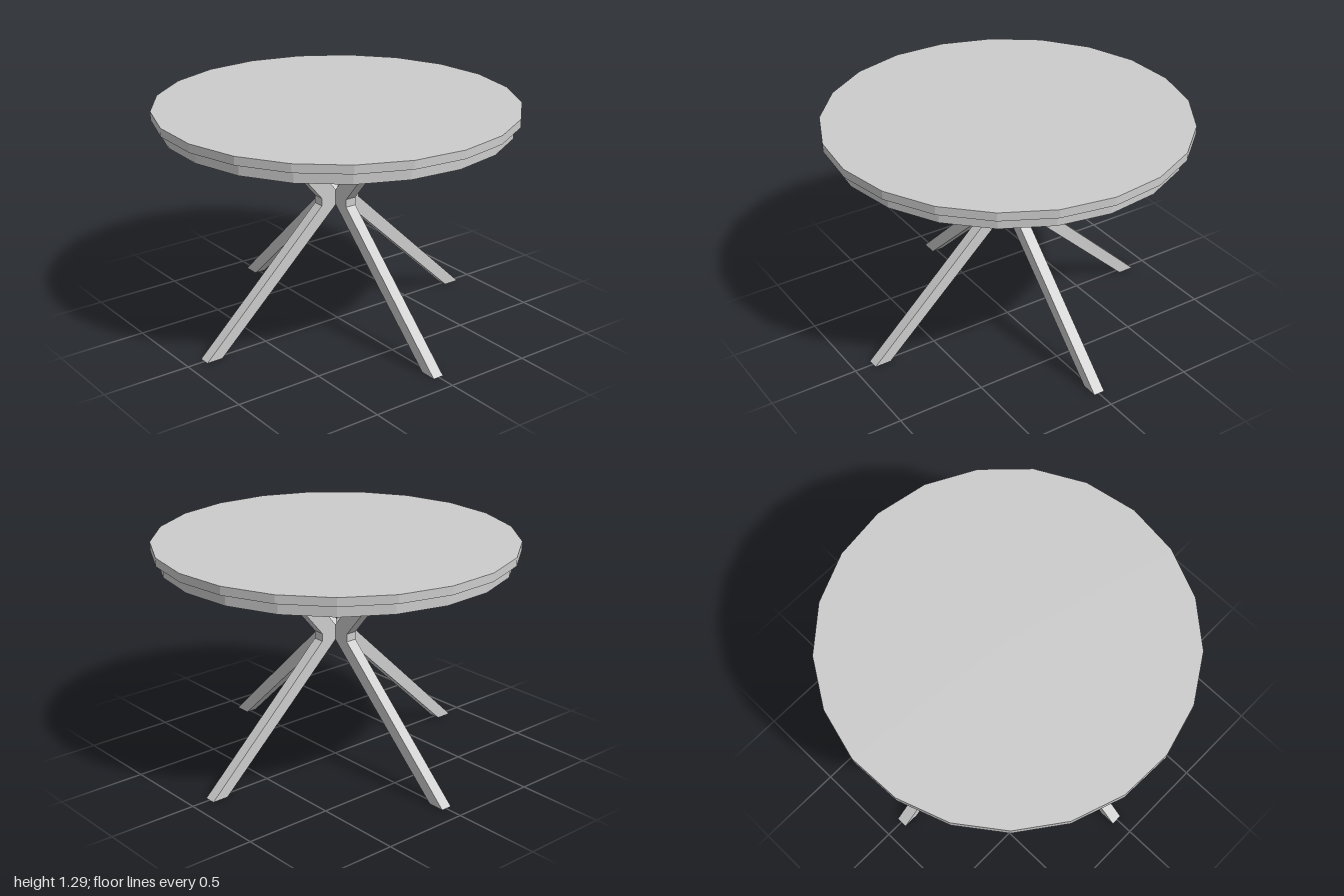
import * as THREE from 'three';

const CX = -0.003, CZ = 0.003; // axis of the table
const SIDES = 21;
const TURN = THREE.MathUtils.degToRad(6.5);

export function createModel() {
  const table = new THREE.Group();
  table.name = 'roundTable';
  const grey = new THREE.MeshStandardMaterial({ color: 0xcccccc, flatShading: true });
  grey.name = 'plain grey';

  // Flat polygonal discs: top board and the slightly smaller skirt below it
  const disc = (name, radius, bottom, top) => {
    const geometry = new THREE.CylinderGeometry(radius, radius, top - bottom, SIDES, 1, false, TURN);
    const mesh = new THREE.Mesh(geometry, grey);
    mesh.name = name;
    mesh.position.set(CX, (bottom + top) / 2, CZ);
    table.add(mesh);
  };
  disc('tableTop', 1.0035, 1.243, 1.29);
  disc('skirt', 0.967, 1.178, 1.243);

  // Bent leg: splayed foot, knee at the centre, splayed upper arm
  const profile = new THREE.Shape([
    [0.8, 0], [0.894, 0], [0.127, 0.73], [0.127, 0.775],
    [0.47, 1.178], [0.34, 1.178], [0, 0.767], [0, 0.747],
  ].map(([x, y]) => new THREE.Vector2(x, y)));
  const width = 0.064;
  const legGeometry = new THREE.ExtrudeGeometry(profile, { depth: width, bevelEnabled: false });
  legGeometry.translate(0, 0, -width / 2);

  // Four legs meeting back to back
  const legs = new THREE.Group();
  legs.name = 'legs';
  legs.position.set(CX, 0, CZ);
  ['leftLeg', 'backLeg', 'rightLeg', 'frontLeg'].forEach((name, i) => {
    const leg = new THREE.Mesh(legGeometry, grey);
    leg.name = name;
    leg.rotation.y = i * Math.PI / 2;
    legs.add(leg);
  });
  table.add(legs);
  return table;
}
